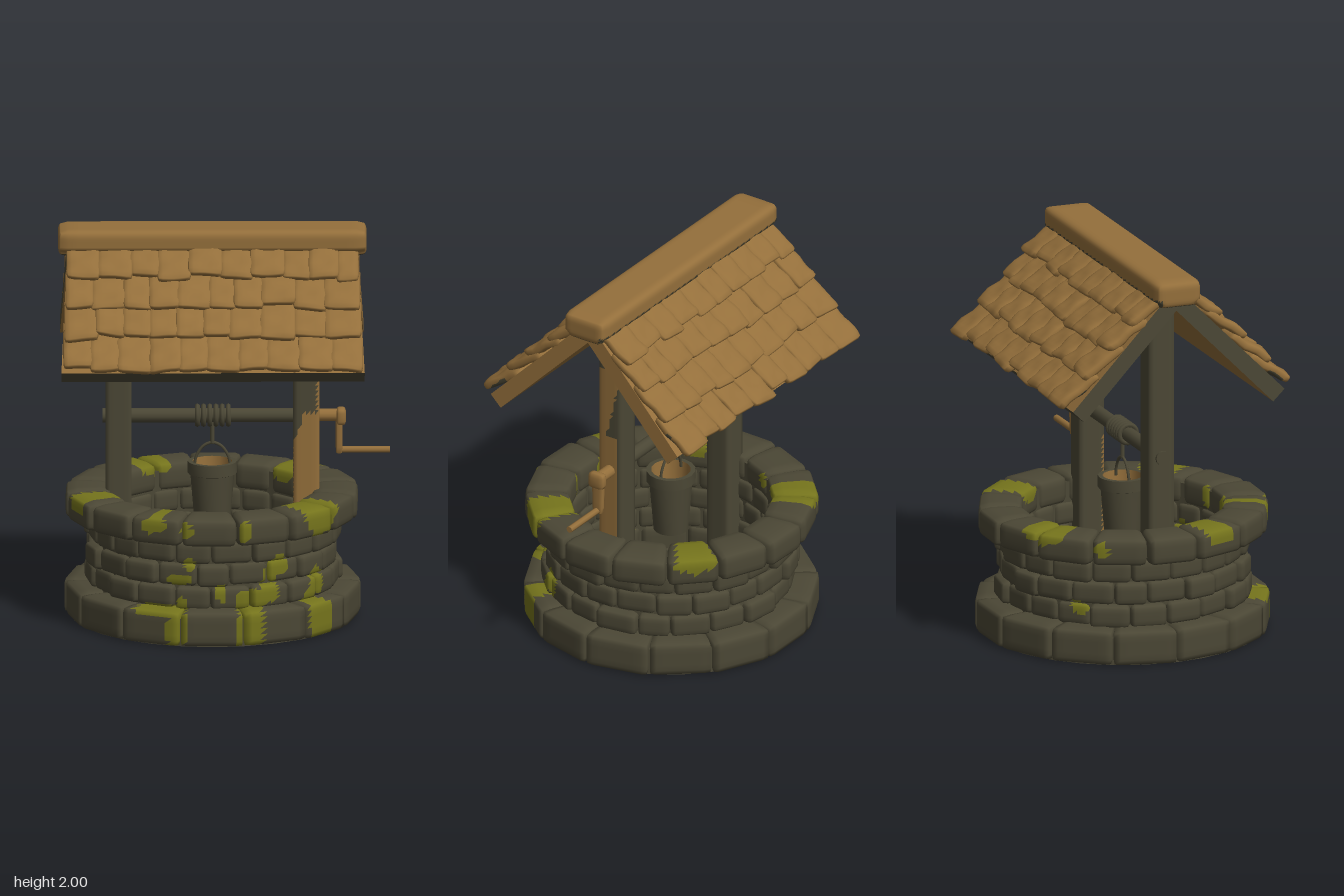
import * as THREE from 'three';
import { mergeVertices, mergeGeometries, toCreasedNormals } from 'three/addons/utils/BufferGeometryUtils.js';

const mat = (name, color) => Object.assign(new THREE.MeshStandardMaterial({ color }), { name });

// Seeded random number between -1 and 1
let seed = 7;
const rnd = () => {
  seed = (seed * 16807) % 2147483647;
  return (seed / 2147483647) * 2 - 1;
};

// Subdivided box with rounded edges and smooth normals; rule(v) may reshape it
function softBox(w, h, d, r, [sx, sy, sz], rule) {
  let g = new THREE.BoxGeometry(w, h, d, sx, sy, sz);
  g.deleteAttribute('normal');
  g.deleteAttribute('uv');
  g.clearGroups();
  g = mergeVertices(g);
  const p = g.attributes.position, v = new THREE.Vector3(), c = new THREE.Vector3();
  const inner = new THREE.Vector3(w / 2 - r, h / 2 - r, d / 2 - r);
  for (let i = 0; i < p.count; i++) {
    v.fromBufferAttribute(p, i);
    c.copy(v).clamp(inner.clone().negate(), inner);
    v.sub(c).setLength(v.lengthSq() ? r : 0).add(c);
    if (rule) rule(v);
    p.setXYZ(i, v.x, v.y, v.z);
  }
  g.computeVertexNormals();
  return g;
}

// Sorts triangles into two material groups by the position of their centre
function paint(g, test) {
  const p = g.attributes.position, ix = g.index.array, sets = [[], []];
  const c = new THREE.Vector3(), v = new THREE.Vector3();
  for (let i = 0; i < ix.length; i += 3) {
    c.set(0, 0, 0);
    for (let k = 0; k < 3; k++) c.add(v.fromBufferAttribute(p, ix[i + k]));
    sets[test(c.divideScalar(3)) ? 1 : 0].push(ix[i], ix[i + 1], ix[i + 2]);
  }
  g.setIndex([...sets[0], ...sets[1]]);
  g.addGroup(0, sets[0].length, 0);
  g.addGroup(sets[0].length, sets[1].length, 1);
  return g;
}

// Moss patches: angle from the front, height, half angle, half height
const mossSpots = [
  [0.86, 0.63, 0.17, 0.11], [0.22, 0.59, 0.04, 0.06], [-0.19, 0.6, 0.05, 0.04], [-0.42, 0.62, 0.08, 0.05],
  [-1.2, 0.64, 0.12, 0.06], [2.35, 0.64, 0.15, 0.06], [-2.55, 0.65, 0.16, 0.05], [-2.1, 0.6, 0.05, 0.04],
  [0.55, 0.38, 0.1, 0.055], [0.46, 0.28, 0.07, 0.09], [0.07, 0.26, 0.045, 0.05], [-0.28, 0.32, 0.1, 0.03],
  [0.3, 0.22, 0.12, 0.05], [-0.19, 0.4, 0.05, 0.03], [0.95, 0.26, 0.1, 0.07], [-2.3, 0.27, 0.09, 0.04],
  [-0.25, 0.1, 0.07, 0.13], [-0.42, 0.17, 0.17, 0.025], [0.26, 0.1, 0.11, 0.14], [0.84, 0.09, 0.13, 0.13],
];
const isMossy = (c) => {
  const a = Math.atan2(c.x, c.z);
  const wob = 1 + 0.2 * Math.sin(a * 40 + c.y * 25);
  return mossSpots.some(([sa, sy, da, dy]) => ((a - sa) / da) ** 2 + ((c.y - sy) / dy) ** 2 < wob);
};

// Ring of wedge-shaped stones
function stoneRing(count, y0, y1, rIn, rOut, round, jitter, turn) {
  const stones = [];
  const cuts = Array.from({ length: count }, (_, i) => ((i + turn + rnd() * jitter * 5) / count) * Math.PI * 2);
  for (let i = 0; i < count; i++) {
    const a0 = cuts[i], a1 = i + 1 < count ? cuts[i + 1] : cuts[0] + Math.PI * 2;
    const mid = (a0 + a1) / 2, width = 2 * rOut * Math.tan((a1 - a0) / 2);
    const out = rOut + rnd() * jitter, depth = out - rIn, lift = rnd() * jitter * 0.25;
    stones.push(softBox(width, y1 - y0, depth, round, [8, 6, 4], (v) => {
      const r = v.z + depth / 2 + rIn, x = (v.x * r) / rOut;
      const y = Math.max(0, v.y + (y0 + y1) / 2 + lift);
      v.set(x * Math.cos(mid) + r * Math.sin(mid), y, r * Math.cos(mid) - x * Math.sin(mid));
    }));
  }
  return paint(mergeGeometries(stones), isMossy);
}

export function createModel() {
  const dark = mat('darkStone', 0x4b4735);
  const wood = mat('warmWood', 0x946f3b);
  const moss = mat('moss', 0x75741c);

  const root = new THREE.Group();
  root.name = 'wishingWell';
  const well = new THREE.Group();
  well.name = 'well';
  well.position.x = -0.06;
  root.add(well);

  const add = (name, geo, material, x = 0, y = 0, z = 0, parent = well) => {
    const m = new THREE.Mesh(geo, material);
    m.name = name;
    m.position.set(x, y, z);
    parent.add(m);
    return m;
  };
  const rod = (name, r, x0, x1, y, material, sides = 12) =>
    add(name, new THREE.CylinderGeometry(r, r, x1 - x0, sides), material, (x0 + x1) / 2, y).rotation.z = Math.PI / 2;
  const lathe = (pts, sides) =>
    toCreasedNormals(new THREE.LatheGeometry(pts.map(([x, y]) => new THREE.Vector2(x, y)), sides), 0.7);

  // Masonry
  const stoneMats = [dark, moss];
  add('baseStones', stoneRing(14, 0, 0.18, 0.5, 0.726, 0.025, 0.006, 0.5), stoneMats);
  for (let i = 0; i < 3; i++) {
    const y = 0.17 + i * 0.115;
    add('wallStones' + (i + 1), stoneRing(20, y, y + 0.12, 0.5, 0.632, 0.03, 0.018, i * 0.5), stoneMats);
  }
  add('rimStones', stoneRing(16, 0.51, 0.66, 0.5, 0.727, 0.04, 0.008, 0.45), stoneMats);
  add('masonryCore', lathe([[0, 0], [0.71, 0], [0.71, 0.14], [0.605, 0.15], [0.605, 0.54], [0.69, 0.55],
    [0.69, 0.61], [0.52, 0.62], [0.52, 0.05], [0, 0.05]], 28), dark);

  // Posts, the crank side one with bare wood patches
  for (const s of [-1, 1]) {
    const g = softBox(0.132, 1.77, 0.136, 0.012, [6, 70, 6]);
    paint(g, (c) => {
      const y = c.y + 0.935;
      if (s < 0) return false;
      if (c.x > 0.055) {
        if (y < 1.22) return c.z > -0.045 && y < 1.24 + c.z;
        return c.z > 0.02 - (y - 1.22) * 0.25 && y < 1.6;
      }
      return c.z > 0.055 && y < 1.05 + Math.min(0, c.x + 0.01) * 3;
    });
    add(s < 0 ? 'rightPost' : 'leftPost', g, [dark, wood], s * 0.47, 0.935, 0);
  }

  // Ridge beam
  const ridge = paint(softBox(1.545, 0.14, 0.25, 0.038, [30, 10, 14], (v) => {
    if (v.y < -0.03) v.z *= 0.85;
  }), (c) => c.y < -0.055 || (c.z < -0.09 && c.y < -0.02));
  add('ridgeBeam', ridge, [wood, dark], 0, 1.93, 0);

  // Two roof slopes: a board under four overlapping rows of shingles
  for (const side of [0, 1]) {
    const turn = new THREE.Group();
    turn.name = side ? 'backRoof' : 'frontRoof';
    turn.position.y = 1.84;
    turn.rotation.y = side * Math.PI;
    const slope = new THREE.Group();
    slope.name = 'roofSlope';
    slope.rotation.x = 0.795;
    turn.add(slope);
    well.add(turn);

    const board = new THREE.BoxGeometry(2, 0.085, 0.77);
    const p = board.attributes.position;
    for (let i = 0; i < p.count; i++) p.setX(i, p.getX(i) * (p.getZ(i) > 0 ? 0.76 : 0.725));
    board.computeVertexNormals();
    add('roofBoard', board, [side ? dark : wood, side ? wood : dark, wood, wood, dark, dark], 0, 0.0425, 0.343, slope);

    const ends = [0.21, 0.38, 0.56, 0.74];
    ends.forEach((end, row) => {
      const n = 10, tiles = [];
      let x = -0.725 - row * 0.006;
      const total = -2 * x;
      for (let k = 0; k < n; k++) {
        const w = k < n - 1 ? total / n + rnd() * 0.02 : -(-total / 2 + (x + 0)) ;
        const len = 0.25, tip = end + rnd() * 0.018, lift = rnd() * 0.008, skew = rnd() * 0.12, cx = x + w / 2;
        const twist = rnd() * 0.06;
        tiles.push(softBox(w + 0.016, 0.05, len, 0.022, [6, 3, 8], (v) => {
          const t = (v.z + len / 2) / len;
          const bump = 0.006 * Math.sin(v.z * 45 + k * 2) * Math.cos(v.x * 30 + row);
          v.y += 0.09 + t * 0.05 + lift + v.x * twist + bump;
          v.z += tip - len / 2 + v.x * skew * t;
          v.x += cx;
        }));
        x += w;
      }
      const g = mergeGeometries(tiles);
      add('shingleRow' + (row + 1), row < 3 ? g : paint(g, (c) => c.y < 0.113 && c.z > 0.6),
        row < 3 ? wood : [wood, dark], 0, 0, 0, slope);
    });
  }

  // Windlass
  rod('axle', 0.037, -0.55, 0.45, 1.02, dark);
  for (let i = 0; i < 6; i++) {
    add('ropeCoil', new THREE.TorusGeometry(0.046, 0.014, 6, 16), dark, -0.075 + i * 0.031, 1.02).rotation.y = Math.PI / 2;
  }
  add('hangingRope', new THREE.CylinderGeometry(0.011, 0.011, 0.14, 8), dark, 0, 0.945);

  // Crank
  rod('crankHub', 0.032, 0.53, 0.63, 1.02, wood);
  add('crankHead', softBox(0.05, 0.085, 0.09, 0.018, [4, 4, 4]), wood, 0.645, 1.015);
  add('crankArm', softBox(0.034, 0.2, 0.066, 0.01, [4, 6, 4], (v) => { v.z *= 0.9 + v.y; }), wood, 0.635, 0.925);
  rod('crankGrip', 0.017, 0.635, 0.89, 0.842, wood, 8);

  // Bucket
  add('bucket', lathe([[0, 0.45], [0.088, 0.45], [0.11, 0.72], [0.124, 0.725], [0.124, 0.785], [0.1, 0.785]], 16), dark);
  add('bucketInside', lathe([[0.1, 0.785], [0.08, 0.5], [0, 0.5]], 16), wood);
  const bail = new THREE.CatmullRomCurve3([[-0.09, 0.76], [-0.08, 0.81], [-0.045, 0.862], [0, 0.88],
    [0.045, 0.862], [0.08, 0.81], [0.09, 0.76]].map(([x, y]) => new THREE.Vector3(x, y, 0)));
  add('bucketHandle', new THREE.TubeGeometry(bail, 24, 0.008, 6), dark);

  return root;
}
